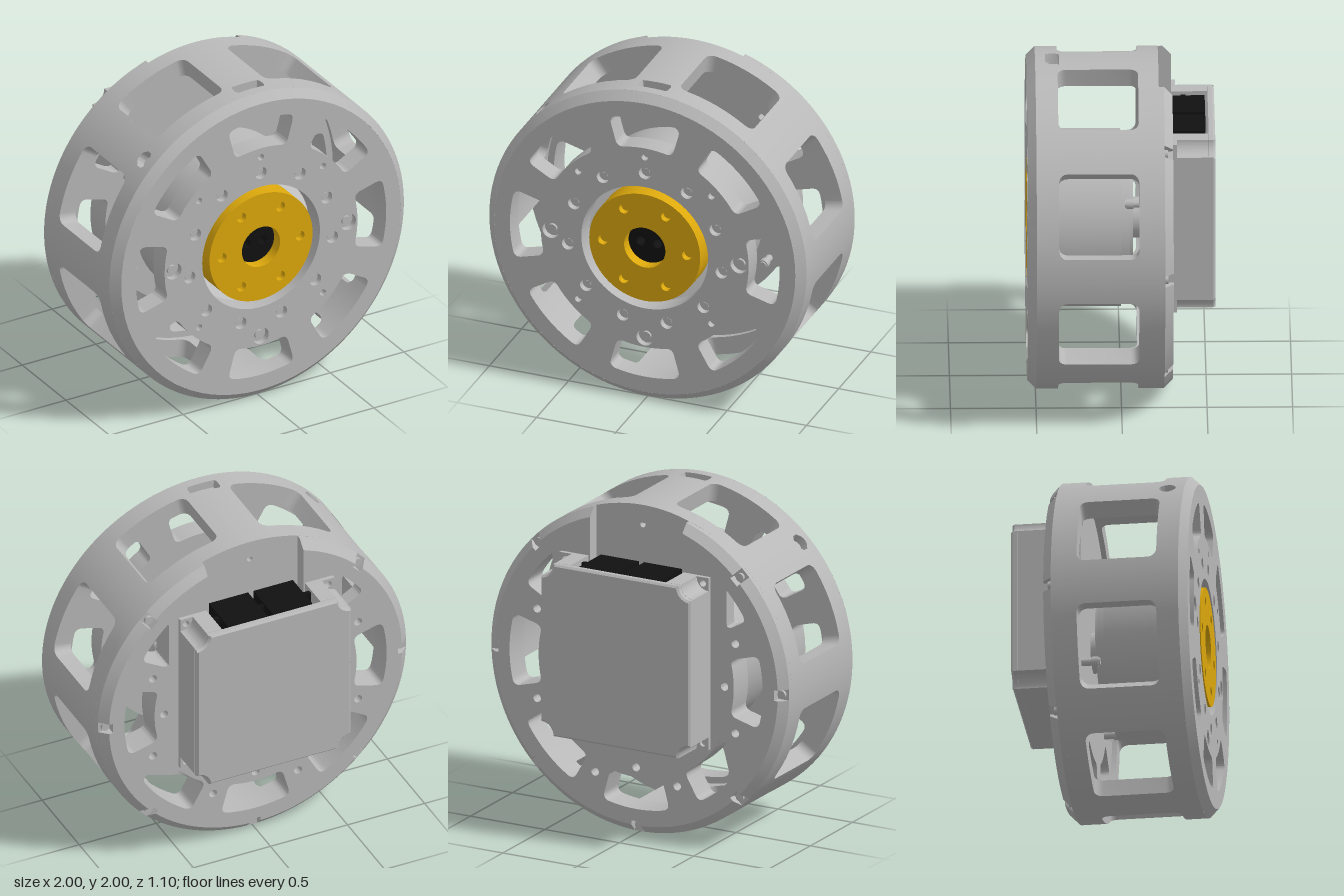
import * as THREE from 'three';
import { toCreasedNormals } from 'three/addons/utils/BufferGeometryUtils.js';

const DEG = Math.PI / 180;
const polar = (r, a) => new THREE.Vector2(r * Math.cos(a), r * Math.sin(a));

const mat = (name, color) => {
  const m = new THREE.MeshStandardMaterial({ color });
  m.name = name;
  return m;
};

// Closed ring built from (r, z) cross-sections at given angles; "cut" slices a section at a fixed x
function ringGeometry(sections) {
  const pos = [];
  const p = (s, j) => {
    const [r, z] = s.pts[j % s.pts.length];
    return s.cut ? [s.cut, Math.sqrt(r * r - s.cut * s.cut), z] : [r * Math.cos(s.a), r * Math.sin(s.a), z];
  };
  for (let i = 0; i < sections.length - 1; i++) {
    const s = sections[i], t = sections[i + 1];
    for (let j = 0; j < s.pts.length; j++) {
      const a = p(s, j), b = p(t, j), c = p(t, j + 1), d = p(s, j + 1);
      pos.push(...a, ...d, ...c, ...a, ...c, ...b);
    }
  }
  const g = new THREE.BufferGeometry();
  g.setAttribute('position', new THREE.Float32BufferAttribute(pos, 3));
  return toCreasedNormals(g, 0.5);
}

// Window bounded by two arcs and two radial sides, with rounded corners
function windowPath(c) {
  const r0 = 0.655, r1 = 0.85, h = 15.3 * DEG, k = 0.045;
  const path = new THREE.Path();
  const quad = (m, e) => path.quadraticCurveTo(m.x, m.y, e.x, e.y);
  const start = polar(r1, c - h + k / r1), side = polar(r0 + k, c + h);
  path.moveTo(start.x, start.y);
  path.absarc(0, 0, r1, c - h + k / r1, c + h - k / r1, false);
  quad(polar(r1, c + h), polar(r1 - k, c + h));
  path.lineTo(side.x, side.y);
  quad(polar(r0, c + h), polar(r0, c + h - k / r0));
  path.absarc(0, 0, r0, c + h - k / r0, c - h + k / r0, true);
  quad(polar(r0, c - h), polar(r0 + k, c - h));
  const e = polar(r1 - k, c - h);
  path.lineTo(e.x, e.y);
  quad(polar(r1, c - h), start);
  return path;
}

function circle(x, y, r, Type = THREE.Path) {
  const p = new Type();
  p.absarc(x, y, r, 0, Math.PI * 2, false);
  return p;
}

export function createModel() {
  const model = new THREE.Group();
  const body = new THREE.Group();
  body.name = 'actuator';
  body.position.y = 1;
  model.add(body);

  const grey = mat('metalGrey', 0xb8b8b8);
  const light = mat('lightSilver', 0xe6e6e6);
  const gold = mat('gold', 0xdca80c);
  const black = mat('black', 0x111111);

  const add = (name, geo, m, x = 0, y = 0, z = 0) => {
    const mesh = new THREE.Mesh(geo, m);
    mesh.name = name;
    mesh.position.set(x, y, z);
    body.add(mesh);
  };
  const plate = (name, shape, z0, z1, m, bevel = 0) => {
    const g = new THREE.ExtrudeGeometry(shape, {
      depth: z1 - z0 - 2 * bevel, curveSegments: 40, bevelEnabled: bevel > 0,
      bevelThickness: bevel, bevelSize: bevel, bevelOffset: -bevel, bevelSegments: 1,
    });
    add(name, toCreasedNormals(g, 0.5), m, 0, 0, z0 + bevel);
  };
  const disc = (name, r, z0, z1, m, x = 0, y = 0, n = 64) =>
    add(name, new THREE.CylinderGeometry(r, r, z1 - z0, n).rotateX(Math.PI / 2), m, x, y, (z0 + z1) / 2);

  // Outer wall: eight rounded windows between pillars, a top slot and a side hole
  const front = [], rear = [], rIn = 0.89;
  const wall = (a, f, g, d = 1, h = 0.02) => {
    front.push({ a, pts: [[rIn, 0.5], [1, 0.5], [1, 0.4 + h], [d, 0.4 + h], [d, 0.4 - h], [1, 0.4 - h], [1, f], [rIn, f]] });
    rear.push({ a, pts: [[rIn, g], [1, g], [1, -0.22], [rIn, -0.22]] });
  };
  const half = [14.5, 14.3, 13.8, 13, 12, 11.5, 8, 4];
  const steps = [...half.map((v) => -v), 0, ...half.slice().reverse()];
  for (let k = 0; k < 8; k++) {
    for (let t = -8; t <= 8; t += 0.5) {
      const slot = k === 2 && Math.abs(t) <= 5.3;
      const hole = k === 3 && Math.abs(t) < 2.8;
      const h = slot ? 0.04 : hole ? Math.sqrt(0.05 ** 2 - (t * DEG) ** 2) : 0.02;
      wall((k * 45 + t) * DEG, 0.135, 0.135, slot || hole ? 0.94 : 1, h);
    }
    for (const t of steps) {
      const e = Math.max(0, 3 - (14.5 - Math.abs(t))) / 3;
      const drop = 0.05 * (1 - Math.sqrt(Math.max(0, 1 - e * e)));
      wall((k * 45 + 22.5 + t) * DEG, 0.37 - drop, -0.1 + drop);
    }
  }
  for (const list of [front, rear]) list.push(list[0]);
  add('outerWallFront', ringGeometry(front), grey);
  add('outerWallRear', ringGeometry(rear), grey);

  // Front chamfer
  const chamfer = [];
  for (let i = 0; i <= 120; i++) chamfer.push({ a: i * 3 * DEG, pts: [[0.95, 0.55], [1, 0.5], [0.95, 0.5]] });
  add('frontChamfer', ringGeometry(chamfer), grey);

  // Rear rim with screw pockets, cut straight at the top for the connector recess
  const rim = [], cutX = 0.31;
  const plain = [[0.88, -0.22], [1, -0.22], [1, -0.25], [0.975, -0.275], [0.95, -0.3], [0.88, -0.3]];
  const pocket = [[0.88, -0.22], [1, -0.22], [1, -0.25], [0.925, -0.25], [0.925, -0.3], [0.88, -0.3]];
  const cap = plain.map(() => [0.93, -0.25]);
  rim.push({ cut: -cutX, pts: cap }, { cut: -cutX, pts: plain });
  for (let k = 3; k <= 9; k++) {
    const c = k * 45;
    for (const t of [-20, -17, -14, -11, -8, -5, -2]) if (c + t > 112) rim.push({ a: (c + t) * DEG, pts: plain });
    rim.push({ a: (c - 2) * DEG, pts: pocket }, { a: (c + 2) * DEG, pts: pocket });
    for (const t of [2, 5, 8, 11, 14, 17, 20, 22.5]) if (c + t < 428) rim.push({ a: (c + t) * DEG, pts: plain });
    const s = polar(0.957, c * DEG);
    disc('rimScrew', 0.025, -0.27, -0.25, grey, s.x, s.y, 16);
  }
  rim.push({ cut: cutX, pts: plain }, { cut: cutX, pts: cap });
  add('rearRim', ringGeometry(rim), grey);

  // Front plate: windowed base layer, and a face layer with counterbored holes
  const makeFront = () => {
    const s = circle(0, 0, 0.95, THREE.Shape);
    s.holes.push(circle(0, 0, 0.4));
    for (let k = 0; k < 8; k++) s.holes.push(windowPath(k * 45 * DEG));
    return s;
  };
  plate('frontPlateBase', makeFront(), 0.42, 0.51, grey);
  const face = makeFront();
  for (let i = 0; i < 11; i++) {
    const p = polar(0.49, 90 * DEG + (i * Math.PI * 2) / 11);
    face.holes.push(circle(p.x, p.y, 0.038));
    disc('plateScrew', 0.02, 0.5, 0.525, grey, p.x, p.y, 16);
  }
  for (const a of [0, 180, 270]) {
    const p = polar(0.593, a * DEG);
    face.holes.push(circle(p.x, p.y, 0.052));
    disc('standoffScrew', 0.028, 0.5, 0.53, grey, p.x, p.y, 16);
  }
  for (const [x, y] of [[0, 0.595], [0.42, 0.42], [-0.42, 0.42], [0.42, -0.42], [-0.42, -0.42]]) face.holes.push(circle(x, y, 0.02));
  plate('frontPlateFace', face, 0.51, 0.55, grey);

  // Rear plate: inner layer is a full disc, outer layer has the connector recess
  const rearHoles = () => {
    const holes = [];
    for (let k = 0; k < 8; k++) {
      if (k === 2) continue;
      const w = windowPath(k * 45 * DEG);
      if (k !== 1 && k !== 3) { holes.push(w); continue; }
      const side = k === 1 ? 1 : -1;
      const pts = windowPath(45 * DEG).getPoints(16).map((p) =>
        p.x < 0.562 ? new THREE.Vector2(0.562, THREE.MathUtils.clamp(p.y, 0.36, 0.62)) : p);
      const clean = pts.filter((p, i) => i === 0 || p.distanceTo(pts[i - 1]) > 1e-4);
      holes.push(new THREE.Path(clean.map((p) => new THREE.Vector2(p.x * side, p.y))));
    }
    for (const s of [1, -1]) holes.push(circle(s * 0.462, 0.622, 0.02));
    return holes;
  };
  const inner = circle(0, 0, 0.905, THREE.Shape);
  inner.holes = [...rearHoles(), circle(0, 0.88, 0.018)];
  plate('rearPlateInner', inner, -0.22, -0.13, grey);
  const outer = new THREE.Shape();
  const notch = Math.acos(cutX / 0.9);
  outer.absarc(0, 0, 0.9, notch, Math.PI - notch, true);
  outer.lineTo(-cutX, 0.48);
  outer.lineTo(cutX, 0.48);
  outer.holes = rearHoles();
  for (const a of [0, 22.5, 157.5, 180, 202.5, 247.5, 270, 292.5, 337.5]) {
    const p = polar(a % 90 ? 0.72 : 0.593, a * DEG);
    outer.holes.push(circle(p.x, p.y, 0.025));
  }
  plate('rearPlateOuter', outer, -0.3, -0.22, grey);

  // Motor inside the housing
  disc('motorCan', 0.52, 0, 0.38, grey);
  disc('motorFrontRing', 0.42, 0.37, 0.39, light);
  disc('motorRearStep', 0.46, -0.05, 0, grey);
  disc('motorRearHub', 0.37, -0.07, -0.05, grey);
  disc('motorShaft', 0.12, -0.14, -0.06, grey);
  for (const a of [30, 150, 210, 330]) {
    const p = polar(0.59, a * DEG);
    disc('pin', 0.022, -0.14, -0.02, grey, p.x, p.y, 16);
    disc('pinCollar', 0.03, -0.07, -0.03, grey, p.x, p.y, 16);
  }

  // Gold output flange with six bolt holes
  const flange = circle(0, 0, 0.35, THREE.Shape);
  flange.holes.push(circle(0, 0, 0.13));
  plate('outputFlangeBase', flange.clone(), 0.385, 0.51, gold);
  for (let i = 0; i < 6; i++) {
    const p = polar(0.265, i * 60 * DEG);
    flange.holes.push(circle(p.x, p.y, 0.03));
  }
  plate('outputFlange', flange, 0.51, 0.55, gold);

  // Black cable core with two bores showing the light face behind
  const core = circle(0, 0, 0.131, THREE.Shape);
  for (const s of [1, -1]) core.holes.push(circle(s * 0.053, 0, 0.028));
  plate('cableCore', core, 0.385, 0.48, black);

  // Electronics box: foot, scooped corners and an opening for connectors
  const boxShape = (scoop, opening) => {
    const s = new THREE.Shape(), x = 0.5, y0 = -0.4, y1 = 0.66;
    s.moveTo(-x + scoop, y0);
    s.lineTo(x - scoop, y0);
    if (scoop) s.absarc(x, y0, scoop, Math.PI, Math.PI / 2, true);
    s.lineTo(x, y1 - scoop);
    if (scoop) s.absarc(x, y1, scoop, -Math.PI / 2, -Math.PI, true);
    else s.lineTo(x, y1);
    if (opening) for (const [px, py] of [[0.32, y1], [0.32, 0.48], [-0.32, 0.48], [-0.32, y1]]) s.lineTo(px, py);
    s.lineTo(-x + scoop, y1);
    if (scoop) s.absarc(-x, y1, scoop, 0, -Math.PI / 2, true);
    s.lineTo(-x, y0 + scoop);
    if (scoop) s.absarc(-x, y0, scoop, Math.PI / 2, 0, true);
    return s;
  };
  const foot = boxShape(0, true);
  for (const sx of [1, -1]) for (const y of [0.622, -0.362]) foot.holes.push(circle(sx * 0.462, y, 0.02));
  plate('boxFoot', foot, -0.325, -0.3, grey);
  plate('boxBody', boxShape(0.08, true), -0.51, -0.325, grey);
  plate('boxCover', boxShape(0.08, false), -0.55, -0.5, grey, 0.012);

  // Pair of black connectors joined by a bar
  for (const s of [1, -1])
    add('connector', new THREE.BoxGeometry(0.255, 0.175, 0.26), black, s * 0.145, 0.567, -0.365);
  add('connectorBar', new THREE.BoxGeometry(0.64, 0.16, 0.03), black, 0, 0.56, -0.37);

  return model;
}
